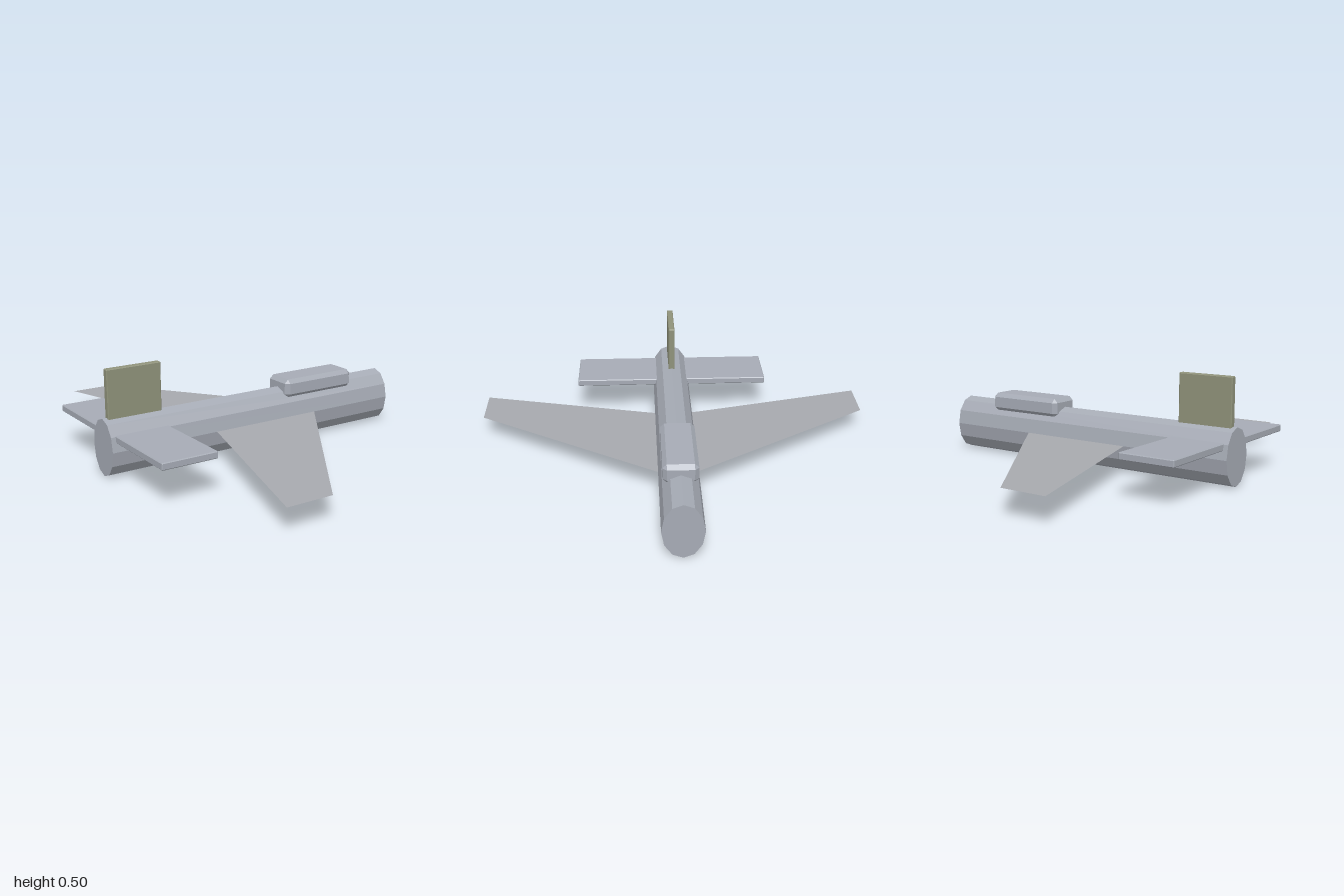
import * as THREE from 'three';
import { ConvexGeometry } from 'three/addons/geometries/ConvexGeometry.js';

const material = (name, color, extra = {}) =>
  Object.assign(new THREE.MeshStandardMaterial({ color, flatShading: true, ...extra }), { name });

// Box with all edges cut; min and max corners, chamfer c
function chamferBox(min, max, c) {
  const h = max.map((v, i) => (v - min[i]) / 2);
  const mid = max.map((v, i) => (v + min[i]) / 2);
  const points = [];
  for (const sx of [-1, 1]) for (const sy of [-1, 1]) for (const sz of [-1, 1]) {
    for (let axis = 0; axis < 3; axis++) {
      const p = [sx, sy, sz].map((s, i) => mid[i] + s * (i === axis ? h[i] : h[i] - c));
      points.push(new THREE.Vector3(...p));
    }
  }
  return new ConvexGeometry(points);
}

export function createModel() {
  const group = new THREE.Group();
  group.name = 'aircraft';
  const hullGrey = material('hullGrey', 0xa6abb5);
  const wingGrey = material('wingGrey', 0xa7a9ae, { side: THREE.DoubleSide });
  const finOlive = material('finOlive', 0x8f927a);

  const add = (name, geometry, mat) => {
    const mesh = new THREE.Mesh(geometry, mat);
    mesh.name = name;
    group.add(mesh);
  };

  // Twelve-sided oval tube, nose towards +x
  const tube = new THREE.CylinderGeometry(1, 1, 1.626, 12);
  tube.rotateZ(-Math.PI / 2).scale(1, 0.138, 0.097).translate(0, 0.138, 0);
  add('fuselage', tube, hullGrey);

  // Cockpit block
  add('canopy', chamferBox([0.162, 0.228, -0.083], [0.578, 0.322, 0.083], 0.02), hullGrey);

  // Tail surfaces
  add('tailplane', chamferBox([-0.79, 0.178, -0.51], [-0.514, 0.212, 0.51], 0.004), hullGrey);
  add('tailFin', chamferBox([-0.79, 0.25, -0.016], [-0.514, 0.504, 0.016], 0.004), finOlive);

  // Swept sheet wings, drooping slightly to the tips
  for (const side of [1, -1]) {
    const wing = new THREE.BufferGeometry();
    wing.setAttribute('position', new THREE.Float32BufferAttribute([
      0.39, 0.14, 0, -0.235, 0.14, 0,
      -0.51, 0.121, side, -0.28, 0.121, side,
    ], 3));
    // Top face keeps its front upwards on both sides
    wing.setIndex(side > 0 ? [0, 1, 2, 0, 2, 3] : [0, 2, 1, 0, 3, 2]);
    wing.computeVertexNormals();
    add(side > 0 ? 'rightWing' : 'leftWing', wing, wingGrey);
  }
  return group;
}
